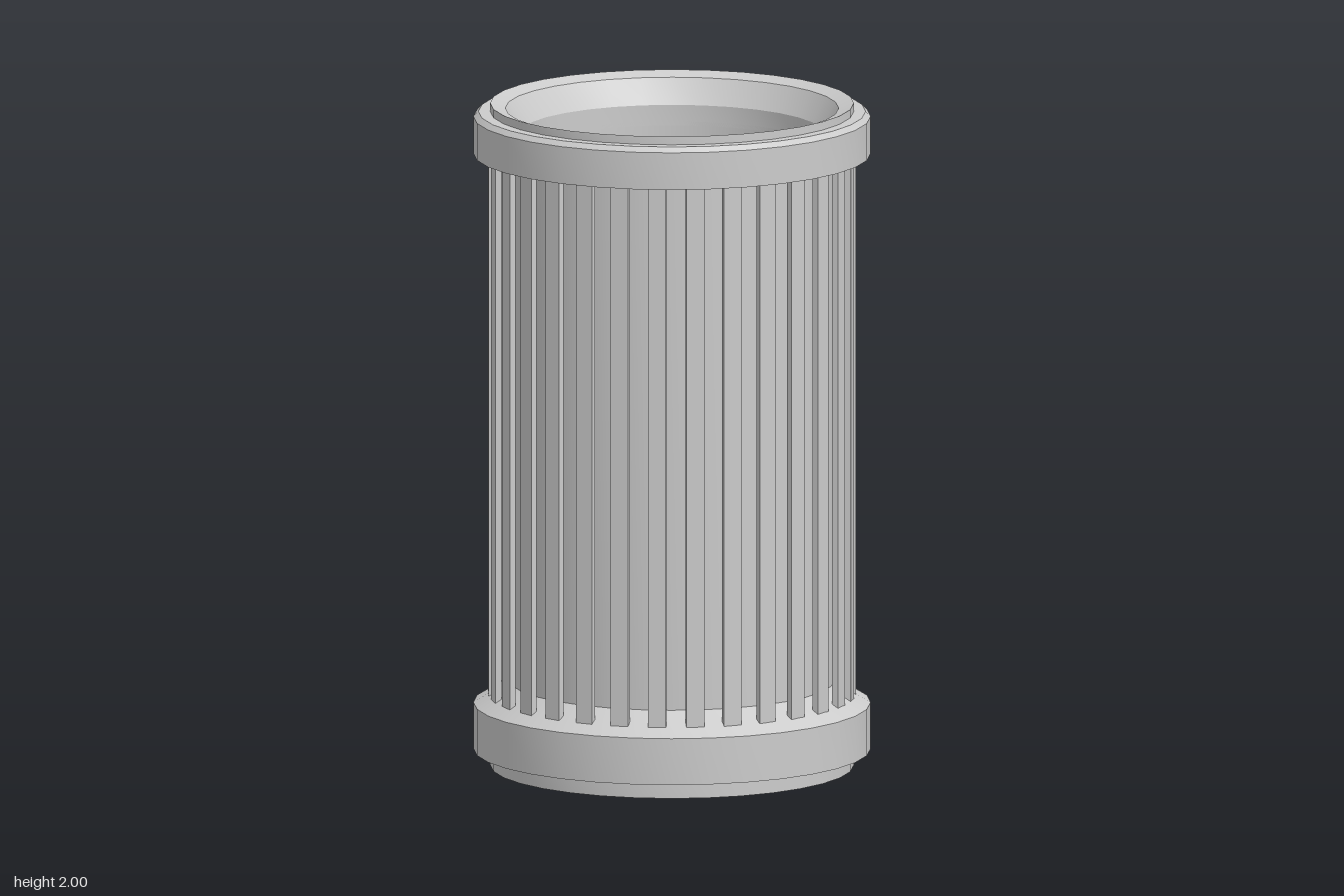
import * as THREE from 'three';
import { toCreasedNormals } from 'three/addons/utils/BufferGeometryUtils.js';

const SIDES = 32;
const SLATS = 30;

export function createModel() {
  const model = new THREE.Group();
  model.name = 'slattedTube';
  const material = new THREE.MeshStandardMaterial({ color: 0xcccccc });

  const add = (name, geometry, mat = material, parent = model) => {
    const mesh = new THREE.Mesh(geometry, mat);
    mesh.name = name;
    parent.add(mesh);
    return mesh;
  };

  // Closed [radius, height] profile, outside going up and inside going down
  const ring = (name, profile) => {
    const points = [...profile, profile[0]].map(([r, y]) => new THREE.Vector2(r, y));
    return add(name, toCreasedNormals(new THREE.LatheGeometry(points, SIDES), 0.3));
  };

  // Hollow bottom collar with a sloping shoulder up to the core
  ring('bottomCollar', [
    [0.54, 0], [0.54, 0.05], [0.59, 0.05], [0.59, 0.19], [0.54, 0.22],
    [0.475, 0.26], [0.475, 0.25], [0.53, 0.21], [0.53, 0],
  ]);

  // Inner tube, flared at its lower mouth
  ring('coreTube', [[0.482, 0.255], [0.482, 1.86], [0.45, 1.86], [0.45, 0.36]]);

  // Top collar with a stepped lip and a funnel leading inside
  ring('topCollar', [
    [0.45, 1.848], [0.59, 1.848], [0.59, 1.96], [0.575, 1.975], [0.54, 1.975],
    [0.54, 2], [0.495, 1.985], [0.45, 1.91],
  ]);

  // Partition closing the bore halfway down
  const thin = material.clone();
  thin.side = THREE.DoubleSide;
  const partition = add('partition', new THREE.CircleGeometry(0.452, SIDES), thin);
  partition.rotation.x = -Math.PI / 2;
  partition.position.y = 1;

  // Vertical slats standing clear of the core
  const slats = new THREE.Group();
  slats.name = 'slats';
  model.add(slats);
  const slatGeometry = new THREE.BoxGeometry(0.054, 1.77, 0.019);
  slatGeometry.translate(0, 0.975, 0.536);
  for (let i = 0; i < SLATS; i++) {
    const slat = add('slat', slatGeometry, material, slats);
    slat.rotation.y = ((i + 0.5) / SLATS) * Math.PI * 2;
  }

  return model;
}
